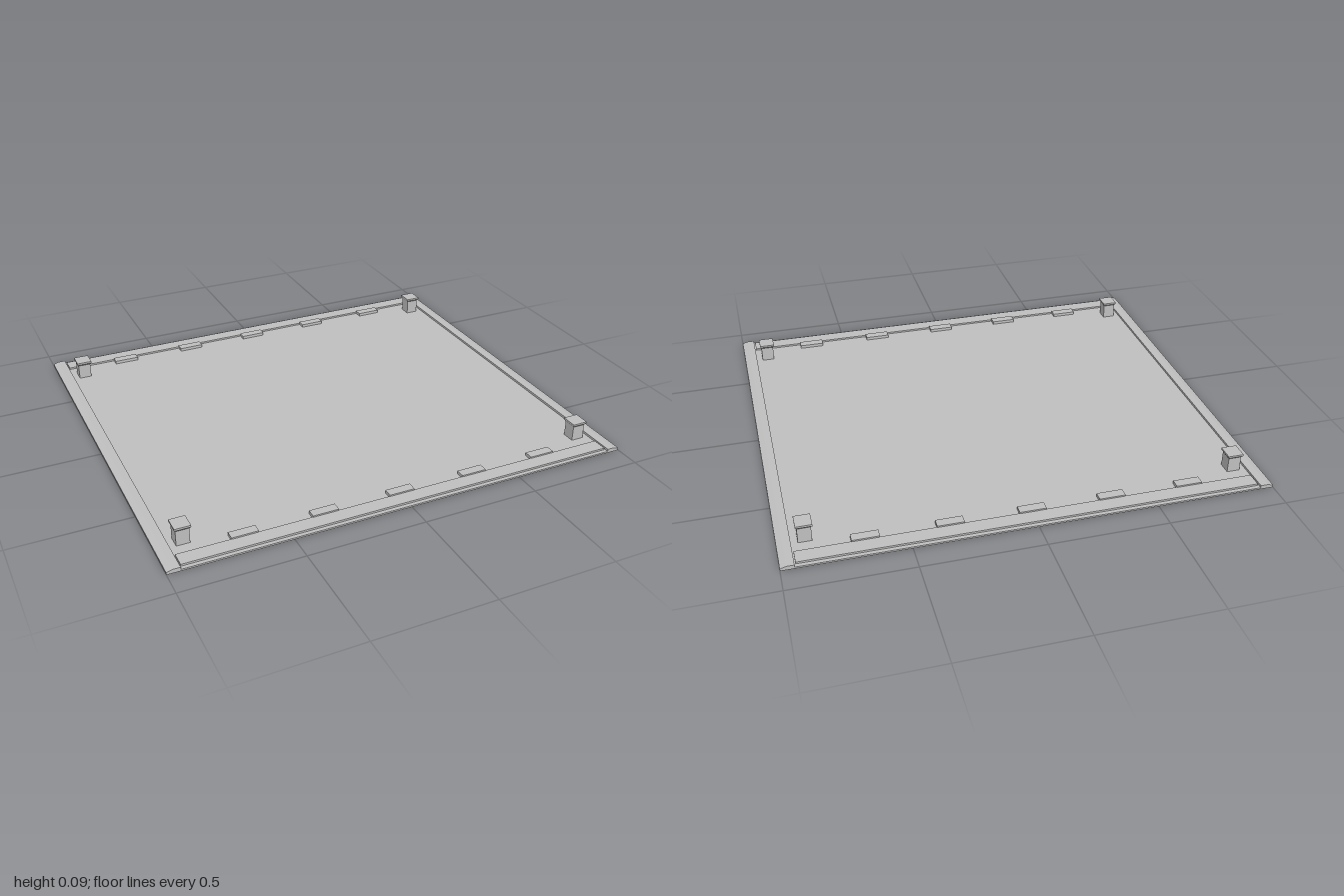
import * as THREE from 'three';

export function createModel() {
  const model = new THREE.Group();
  const grey = new THREE.MeshStandardMaterial({ color: 0xc0c0c0 });
  grey.name = 'light grey';

  const add = (name, geometry, parent = model) => {
    const mesh = new THREE.Mesh(geometry, grey);
    mesh.name = name;
    parent.add(mesh);
    return mesh;
  };
  const box = (name, w, d, y0, y1, x, z, parent) => {
    const mesh = add(name, new THREE.BoxGeometry(w, y1 - y0, d), parent);
    mesh.position.set(x, (y0 + y1) / 2, z);
    return mesh;
  };

  // Thin floor of the cover
  box('basePlate', 2, 1.78, 0, 0.007, 0, 0);

  // Side rims, bevelled on the outside
  const profile = new THREE.Shape([[1, 0.006], [1, 0.01], [0.975, 0.017], [0.945, 0.017], [0.945, 0.006]]
    .map(([x, y]) => new THREE.Vector2(x, y)));
  for (const side of [0, Math.PI]) {
    const rim = new THREE.ExtrudeGeometry(profile, { depth: 1.78, bevelEnabled: false });
    rim.translate(0, 0, -0.89).rotateY(side);
    add('sideRim', rim);
  }

  // Front and back rims with five snap tabs each
  for (const s of [1, -1]) {
    box('endRim', 1.88, 0.065, 0.006, 0.015, 0, s * 0.84);
    for (let i = -2; i <= 2; i++) {
      box('snapTab', 0.11, 0.04, 0.006, 0.021, i * 0.333, s * 0.79);
    }
  }

  // Corner posts with overhanging heads
  for (const sx of [1, -1]) {
    for (const sz of [1, -1]) {
      const post = new THREE.Group();
      post.name = 'cornerPost';
      post.position.set(sx * 0.89, 0, sz * 0.725);
      model.add(post);
      box('postShaft', 0.055, 0.055, 0.006, 0.076, 0, 0, post);

      // Head narrows to the shaft at its underside
      const head = new THREE.BoxGeometry(0.066, 0.016, 0.07, 1, 2, 1);
      const p = head.attributes.position;
      for (let i = 0; i < p.count; i++) {
        if (p.getY(i) < -0.004) {
          p.setX(i, Math.sign(p.getX(i)) * 0.0275);
          p.setZ(i, Math.sign(p.getZ(i)) * 0.0275);
        }
      }
      const flat = head.toNonIndexed();
      flat.computeVertexNormals();
      add('postHead', flat, post).position.y = 0.08;
    }
  }
  return model;
}
